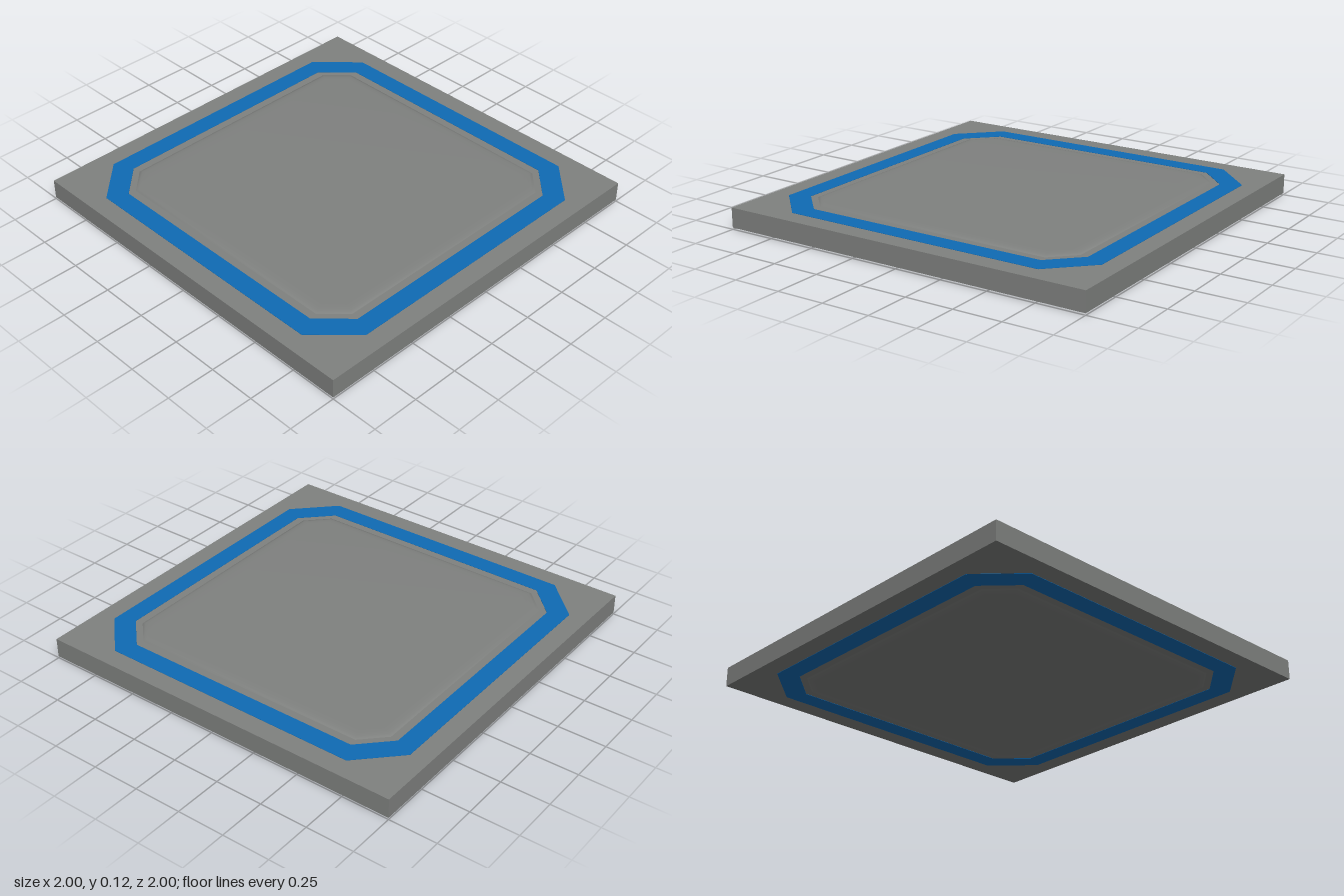
import * as THREE from 'three';
import { toCreasedNormals } from 'three/addons/utils/BufferGeometryUtils.js';

const gray = new THREE.MeshStandardMaterial({ color: 0x7f817f });
gray.name = 'slab gray';
const blue = new THREE.MeshStandardMaterial({ color: 0x0f6bb4 });
blue.name = 'stripe blue';

const MID = 0.06; // height of the slab's middle

// Square of half width h whose corners are cut off from c onwards
function octagon(h, c) {
  return [[h, -c], [h, c], [c, h], [-c, h], [-h, c], [-h, -c], [-c, -h], [c, -h]]
    .map(([x, y]) => new THREE.Vector2(x, y));
}

// Lays an extrusion flat, centred on the given height
function addFlat(group, name, geometry, material, y) {
  geometry.center();
  geometry.rotateX(-Math.PI / 2);
  const mesh = new THREE.Mesh(geometry, material);
  mesh.name = name;
  mesh.position.y = y;
  group.add(mesh);
}

export function createModel() {
  const model = new THREE.Group();
  model.name = 'floorTile';

  // Square slab
  const slab = new THREE.Mesh(new THREE.BoxGeometry(2, 0.102, 2), gray);
  slab.name = 'slab';
  slab.position.y = MID;
  model.add(slab);

  // Raised cushion with soft edges, standing out above and below
  const cushion = new THREE.ExtrudeGeometry(new THREE.Shape(octagon(0.7, 0.62)), {
    depth: 0.1, bevelThickness: 0.01, bevelSize: 0.06, bevelSegments: 4,
  });
  addFlat(model, 'cushion', toCreasedNormals(cushion, 0.6), gray, MID);

  // Blue border stripe on the top and the underside
  for (const side of [1, -1]) {
    const ring = new THREE.Shape(octagon(0.9, 0.7));
    ring.holes.push(new THREE.Path(octagon(0.8, 0.65).reverse()));
    const stripe = new THREE.ExtrudeGeometry(ring, { depth: 0.003, bevelEnabled: false });
    addFlat(model, side > 0 ? 'topStripe' : 'bottomStripe', stripe, blue, MID + side * 0.051);
  }
  return model;
}
